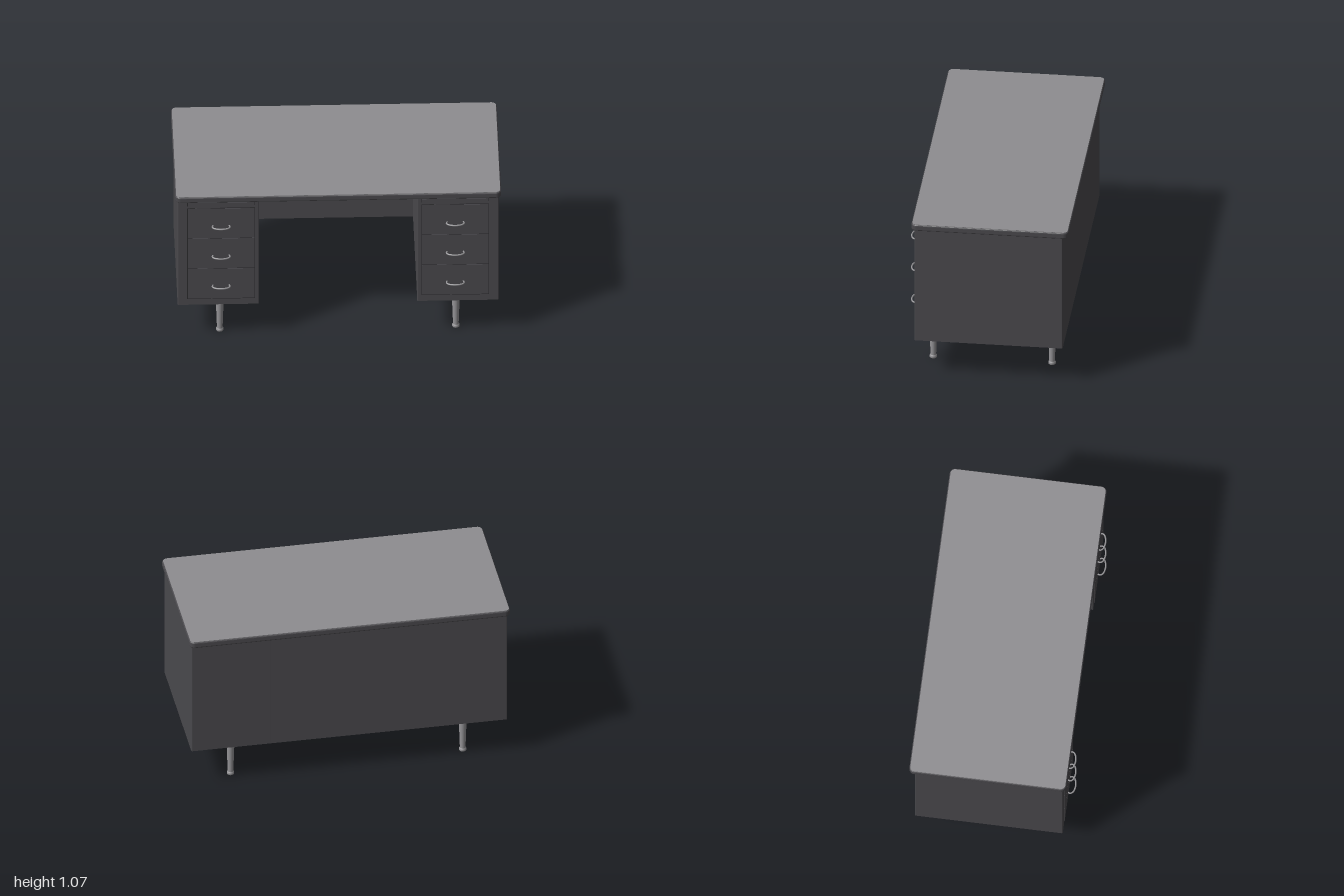
import * as THREE from 'three';

const mat = (name, color, side = THREE.FrontSide) => {
  const m = new THREE.MeshStandardMaterial({ color, side });
  m.name = name;
  return m;
};

// Rounded rectangle in plan, extruded upwards from y0 to y1
function slab(x0, x1, z0, z1, y0, y1, r, bevel = 0) {
  const s = new THREE.Shape();
  const [a, b, c, d] = [x0 + bevel, x1 - bevel, -z1 + bevel, -z0 - bevel];
  s.moveTo(a + r, c);
  s.lineTo(b - r, c);
  s.absarc(b - r, c + r, r, -Math.PI / 2, 0);
  s.absarc(b - r, d - r, r, 0, Math.PI / 2);
  s.absarc(a + r, d - r, r, Math.PI / 2, Math.PI);
  s.absarc(a + r, c + r, r, Math.PI, Math.PI * 1.5);
  const g = new THREE.ExtrudeGeometry(s, {
    depth: y1 - y0 - 2 * bevel, curveSegments: 6,
    bevelEnabled: bevel > 0, bevelSize: bevel, bevelThickness: bevel, bevelSegments: 3,
  });
  g.rotateX(-Math.PI / 2);
  g.translate(0, y0 + bevel, 0);
  return g;
}

export function createModel() {
  const desk = new THREE.Group();
  desk.name = 'desk';
  const body = mat('charcoal enamel', 0x4b4a4e);
  const gap = mat('dark gap', 0x2c2c2e);
  const top = mat('grey laminate', 0x8e8d90);
  const metal = mat('brushed metal', 0x959497);

  const add = (parent, name, geo, material, x = 0, y = 0, z = 0) => {
    const m = new THREE.Mesh(geo, material);
    m.name = name;
    m.position.set(x, y, z);
    parent.add(m);
    return m;
  };
  const box = (w, h, d) => new THREE.BoxGeometry(w, h, d);

  // Desk top: dark rounded edge with a lighter laminate sheet
  add(desk, 'topEdge', slab(-1, 1, -0.5, 0.47, 1.028, 1.069, 0.025, 0.009), body);
  add(desk, 'topSurface', slab(-0.994, 0.994, -0.494, 0.464, 1.068, 1.071, 0.028), top);

  // Thin panel across the back of the knee space
  add(desk, 'backPanel', box(0.98, 0.775, 0.012), body, 0, 0.6425, -0.459);

  // Bowed drawer pull
  const pull = new THREE.TubeGeometry(new THREE.CatmullRomCurve3([
    [-0.05, 0, 0], [-0.054, 0, 0.018], [-0.044, 0, 0.032], [-0.02, 0, 0.041], [0, 0, 0.043],
    [0.02, 0, 0.041], [0.044, 0, 0.032], [0.054, 0, 0.018], [0.05, 0, 0],
  ].map((p) => new THREE.Vector3(...p))), 40, 0.005, 8);

  // Tapered leg with a rounded foot
  const leg = new THREE.LatheGeometry([
    [0, 0], [0.018, 0], [0.023, 0.005], [0.023, 0.016], [0.019, 0.021],
    [0.0175, 0.024], [0.025, 0.248],
  ].map((p) => new THREE.Vector2(...p)), 24);

  for (const side of [-1, 1]) {
    const pedestal = new THREE.Group();
    pedestal.name = side > 0 ? 'leftPedestal' : 'rightPedestal';
    desk.add(pedestal);
    const [x0, x1] = side > 0 ? [0.485, 0.985] : [-0.985, -0.485];
    add(pedestal, 'cabinet', slab(x0, x1, -0.465, 0.45, 0.255, 1.03, 0.006), body);

    // Three drawers set in a dark shadow gap
    const cx = side * 0.718;
    add(pedestal, 'drawerGap', box(0.416, 0.68, 0.002), gap, cx, 0.638, 0.4502);
    [0.414, 0.6395, 0.864].forEach((y, i) => {
      add(pedestal, 'drawerFront', box(0.407, 0.221, 0.006), body, cx, y, 0.451);
      add(pedestal, 'drawerPull', pull, metal, cx, [0.402, 0.625, 0.847][i], 0.453);
    });

    // Pull-out writing board above the drawers
    add(pedestal, 'boardGap', box(0.416, 0.032, 0.002), gap, cx, 1.01, 0.4502);
    add(pedestal, 'writingBoard', box(0.407, 0.025, 0.01), body, cx, 1.009, 0.453);

    // Legs on square mounting plates
    for (const z of [0.363, -0.37]) {
      add(pedestal, 'legPlate', box(0.1, 0.008, 0.1), metal, side * 0.724, 0.251, z);
      add(pedestal, 'leg', leg, metal, side * 0.724, 0, z);
    }
  }
  return desk;
}
